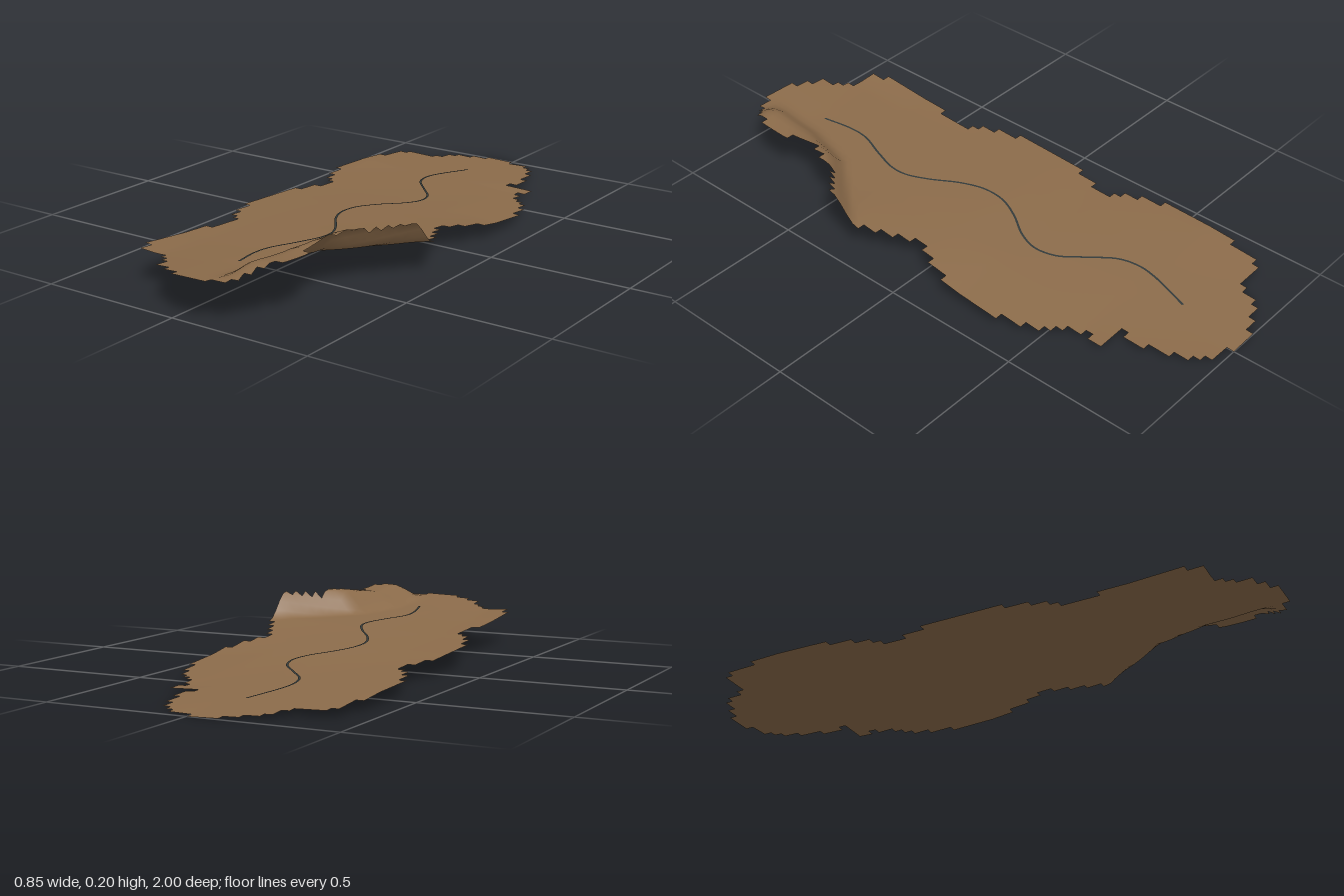
import * as THREE from 'three';

const ROWS = 75;
const CELL = 2 / ROWS;

// Stepped outline in grid cells: [first row, column], rows run back to front
const LEFT = [[0, -4], [1, -6], [2, -8], [3, -9], [5, -10], [6, -14], [7, -15], [11, -16], [22, -15],
  [25, -14], [27, -13], [28, -12], [31, -13], [34, -14], [45, -13], [48, -12], [50, -11], [51, -10],
  [56, -11], [67, -10], [69, -6], [70, -5], [71, -4], [73, -2], [74, 0]];
const RIGHT = [[0, 0], [1, 3], [2, 4], [3, 5], [5, 6], [8, 7], [11, 6], [12, 10], [14, 9], [15, 10],
  [17, 11], [18, 12], [19, 13], [21, 14], [24, 15], [33, 14], [36, 13], [38, 12], [40, 13], [42, 14],
  [44, 15], [46, 16], [51, 15], [52, 14], [53, 13], [54, 12], [57, 11], [59, 10], [64, 11], [69, 10],
  [71, 9], [72, 8], [73, 7], [74, 5]];

// Ground height sections: z, then heights at x = -0.4, -0.2, 0, 0.2, 0.4
const SECTIONS = [
  [-1, 0.01, 0.006, 0, 0.005, 0.006],
  [-0.6, 0.042, 0.033, 0.026, 0.016, 0.008],
  [-0.2, 0.055, 0.055, 0.056, 0.055, 0.045],
  [0, 0.065, 0.068, 0.072, 0.075, 0.078],
  [0.3, 0.08, 0.083, 0.09, 0.1, 0.113],
  [0.6, 0.1, 0.098, 0.105, 0.115, 0.115],
  [0.8, 0.125, 0.112, 0.12, 0.125, 0.13],
  [1, 0.14, 0.13, 0.14, 0.145, 0.15],
];

// Foot of the raised bank: [z, x]
const BANK = [[0.2, 0.46], [0.28, 0.39], [0.4, 0.29], [0.52, 0.19], [0.7, 0.13], [1, 0.11]];

const { clamp, lerp, smoothstep } = THREE.MathUtils;

function stepAt(list, row) {
  let col = list[0][1];
  for (const [start, c] of list) if (row >= start) col = c;
  return col;
}

function rowAt(list, z) {
  let i = 0;
  while (i < list.length - 2 && z > list[i + 1][0]) i++;
  const a = list[i], b = list[i + 1];
  const t = clamp((z - a[0]) / (b[0] - a[0]), 0, 1);
  return a.map((v, k) => lerp(v, b[k], t));
}

function height(x, z) {
  const s = rowAt(SECTIONS, z);
  const u = clamp((x + 0.4) / 0.2, 0, 3.999);
  const k = Math.floor(u);
  let y = lerp(s[k + 1], s[k + 2], u - k);
  if (z > 0.2) {
    const foot = rowAt(BANK, z)[1];
    const rise = lerp(0.088, 0.055, smoothstep(z, 0.5, 0.75));
    y += rise * smoothstep(x - foot, 0, 0.1) * (1 - smoothstep(z, 0.86, 0.97));
  }
  return y;
}

function buildGeometry(positions, index) {
  const g = new THREE.BufferGeometry();
  g.setAttribute('position', new THREE.Float32BufferAttribute(positions, 3));
  g.setIndex(index);
  g.computeVertexNormals();
  return g;
}

// Sheet of square cells kept inside the stepped outline
function terrainGeometry() {
  const positions = [], index = [], ids = new Map();
  const vertex = (c, r) => {
    const key = `${c},${r}`;
    if (!ids.has(key)) {
      const x = c * CELL, z = r * CELL - 1;
      ids.set(key, positions.length / 3);
      positions.push(x, height(x, z), z);
    }
    return ids.get(key);
  };
  for (let r = 0; r < ROWS; r++) {
    for (let c = stepAt(LEFT, r); c < stepAt(RIGHT, r); c++) {
      const a = vertex(c, r), b = vertex(c, r + 1), d = vertex(c + 1, r), e = vertex(c + 1, r + 1);
      index.push(a, b, d, b, e, d);
    }
  }
  return buildGeometry(positions, index);
}

// Narrow winding ribbon laid just above the ground
function streamGeometry() {
  const curve = new THREE.CatmullRomCurve3([
    [-0.058, -0.76], [-0.1, -0.61], [-0.105, -0.545], [-0.085, -0.475], [-0.01, -0.385],
    [0.048, -0.315], [0.068, -0.24], [0.048, -0.17], [-0.01, -0.08], [-0.043, 0], [-0.043, 0.08],
    [-0.01, 0.16], [0.058, 0.255], [0.095, 0.325], [0.1, 0.385], [0.074, 0.477], [0.037, 0.583],
    [0.037, 0.65], [0.063, 0.76],
  ].map(([x, z]) => new THREE.Vector3(x, 0, z)));
  const positions = [], index = [], n = 160, half = 0.0038;
  for (let i = 0; i <= n; i++) {
    const p = curve.getPointAt(i / n), t = curve.getTangentAt(i / n);
    for (const side of [1, -1]) {
      const x = p.x - t.z * half * side, z = p.z + t.x * half * side;
      positions.push(x, height(x, z) + 0.002, z);
    }
    if (i < n) {
      const a = i * 2;
      index.push(a, a + 2, a + 1, a + 1, a + 2, a + 3);
    }
  }
  return buildGeometry(positions, index);
}

export function createModel() {
  const earth = new THREE.MeshStandardMaterial({ color: 0x8b6b4a, side: THREE.DoubleSide });
  earth.name = 'earth brown';
  const dark = new THREE.MeshStandardMaterial({ color: 0x333a3a, side: THREE.DoubleSide });
  dark.name = 'dark slate';

  const group = new THREE.Group();
  group.name = 'terrainPatch';
  const ground = new THREE.Mesh(terrainGeometry(), earth);
  ground.name = 'ground';
  const stream = new THREE.Mesh(streamGeometry(), dark);
  stream.name = 'windingStream';
  group.add(ground, stream);
  return group;
}
